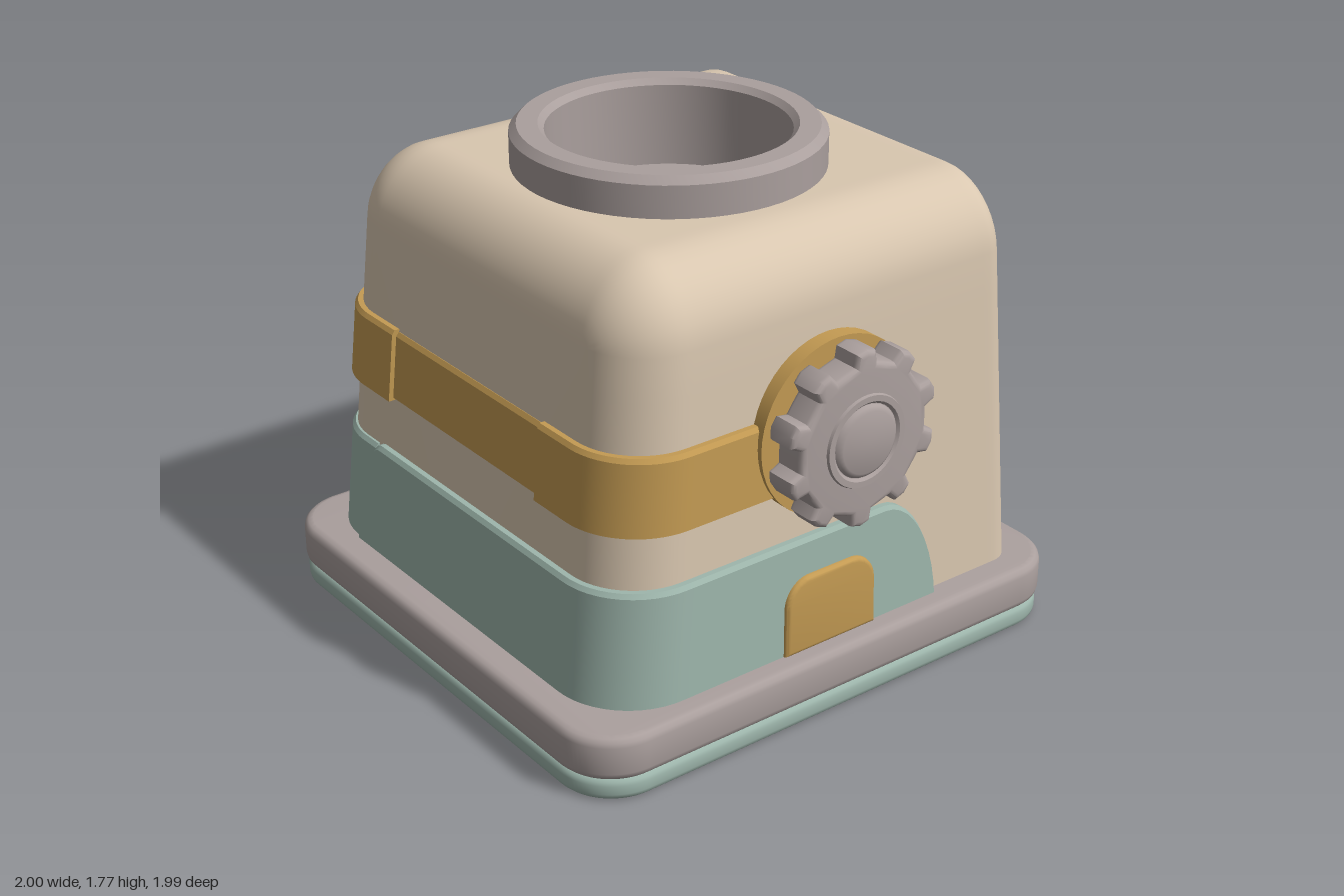
import * as THREE from 'three';
import { toCreasedNormals } from 'three/addons/utils/BufferGeometryUtils.js';

const mat = (name, color) => Object.assign(new THREE.MeshStandardMaterial({ color }), { name });
const FLOOR = 0.23, HALF_X = 0.86, HALF_Z = 0.87, CORNER = 0.25;

// Taper shared by everything that sits on the body: (x, y, v) -> model space
function warp(x, y, v) {
  const t = (y - FLOOR) / 1.41;
  return [x * (1 - 0.13 * t), y, -0.05 + 0.03 * t + v * (1 - 0.08 * t)];
}

// Skin a grid of points, one row per cross-section
function skin(rows, crease = 0.6) {
  const n = rows[0].length, index = [];
  for (let i = 0; i < rows.length - 1; i++) {
    for (let j = 0; j < n - 1; j++) {
      const a = i * n + j;
      index.push(a, a + 1, a + n, a + 1, a + n + 1, a + n);
    }
  }
  const geo = new THREE.BufferGeometry();
  geo.setAttribute('position', new THREE.Float32BufferAttribute(rows.flat(2), 3));
  geo.setIndex(index);
  return toCreasedNormals(geo, crease);
}

// Arch cross-section at x: half-width w, top h, corner radius r
function arch(x, w, h, r) {
  const half = [];
  for (let i = 0; i < 8; i++) half.push([w, FLOOR + (h - r - FLOOR) * i / 8]);
  for (let i = 0; i <= 10; i++) {
    const a = Math.PI / 2 * i / 10;
    half.push([w - r + r * Math.cos(a), h - r + r * Math.sin(a)]);
  }
  for (let i = 1; i <= 20; i++) half.push([(w - r) * (1 - i / 20), h]);
  const other = half.slice(0, -1).reverse().map(([v, y]) => [-v, y]);
  return [...half, ...other].map(([v, y]) => warp(x, y, v));
}

// Body: open on the right end, rounded towards the closed left end
function bodyGeometry() {
  const inset = (x, d) => arch(x, HALF_Z - d, 1.64 - d, Math.max(0.005, CORNER - d));
  const rows = [arch(HALF_X, 0.6, 1.4, 0.15)];
  const edge = 0.09;
  for (let i = 0; i <= 8; i++) {
    const a = Math.PI / 2 * i / 8;
    rows.push(inset(HALF_X - edge + edge * Math.cos(a), edge * (1 - Math.sin(a))));
  }
  for (let i = 1; i < 46; i++) {
    rows.push(inset(THREE.MathUtils.lerp(HALF_X - edge, CORNER - HALF_X, i / 46), 0));
  }
  for (let i = 0; i <= 12; i++) {
    const a = Math.PI / 2 * i / 12;
    rows.push(inset(-HALF_X + CORNER - CORNER * Math.sin(a), CORNER * (1 - Math.cos(a))));
  }
  rows.push(arch(-HALF_X, 0.001, FLOOR + 0.002, 0.0005));
  // Sink the roof under the round well
  for (const p of rows.flat()) {
    if (p[1] > 1.5 && Math.hypot(p[0] + 0.015, p[2]) < 0.46) p[1] = 1.42;
  }
  return skin(rows);
}

// Point and outward normal along the body's plan outline; s = 0 where the front left corner starts
function outline(s) {
  const arc = CORNER * Math.PI / 2, side = 2 * (HALF_Z - CORNER);
  const cx = CORNER - HALF_X, cz = HALF_Z - CORNER;
  if (s < 0) return [cx - s, HALF_Z, 0, 1];
  if (s > 2 * arc + side) return [cx + s - 2 * arc - side, -HALF_Z, 0, -1];
  const onSide = s > arc && s < arc + side;
  if (onSide) return [-HALF_X, cz - (s - arc), -1, 0];
  const front = s <= arc;
  const a = (front ? s : s - side) / CORNER;
  const nx = -Math.sin(a), nz = Math.cos(a);
  return [cx + CORNER * nx, (front ? cz : -cz) + CORNER * nz, nx, nz];
}

// Raised strip wrapped round the body, with optional rounded ends r0 and r1
function wrap(s0, s1, y0, y1, off, r0 = 0, r1 = 0) {
  const stations = [];
  const fall = (i) => 1 - Math.cos(Math.PI / 2 * i / 10);
  if (r0) for (let i = 0; i < 10; i++) stations.push([s0 + r0 * fall(i), Math.sin(Math.PI / 2 * i / 10)]);
  for (let i = 0; i <= 70; i++) stations.push([THREE.MathUtils.lerp(s0 + r0, s1 - r1, i / 70), 1]);
  if (r1) for (let i = 9; i >= 0; i--) stations.push([s1 - r1 * fall(i), Math.sin(Math.PI / 2 * i / 10)]);
  const row = ([s, k], d) => {
    const [x, v, nx, nz] = outline(s), top = y0 + (y1 - y0) * k;
    const section = [[-0.02, y0], [d, y0], [d, Math.max(y0, top - 0.015)], [d - 0.01, top], [-0.02, top]];
    return section.map(([o, y]) => warp(x + nx * o, y, v + nz * o));
  };
  const last = stations[stations.length - 1];
  return skin([row(stations[0], -0.02), ...stations.map((p) => row(p, off)), row(last, -0.02)], 0.5);
}

function roundedRect(w, h, r) {
  const s = new THREE.Shape();
  [[w - r, h - r, 0], [r - w, h - r, 1], [r - w, r - h, 2], [w - r, r - h, 3]].forEach(([x, y, q]) =>
    s.absarc(x, y, r, q * Math.PI / 2, (q + 1) * Math.PI / 2, false));
  return s;
}

// Extrusion whose bevel stays inside the given outline and depth
function slab(shape, depth, bevel) {
  const geo = new THREE.ExtrudeGeometry(shape, {
    depth: depth - 2 * bevel, bevelThickness: bevel, bevelSize: bevel, bevelOffset: -bevel,
    bevelSegments: 3, curveSegments: 10,
  });
  geo.translate(0, 0, bevel);
  return toCreasedNormals(geo, 0.6);
}

const lathe = (points, seg = 64) =>
  toCreasedNormals(new THREE.LatheGeometry(points.map((p) => new THREE.Vector2(...p)), seg), 0.6);

export function createModel() {
  const model = new THREE.Group();
  const cream = mat('cream', 0xd9c7b0), grey = mat('warm grey', 0xaa9f9d);
  const gold = mat('ochre', 0xc49b53), teal = mat('pale teal', 0x9eb6ac);
  const add = (name, geo, material, x = 0, y = 0, z = 0) => {
    const mesh = new THREE.Mesh(geo, material);
    mesh.name = name;
    mesh.position.set(x, y, z);
    model.add(mesh);
    return mesh;
  };

  // Base plates
  add('basePlate', slab(roundedRect(1, 0.96, 0.2), 0.155, 0.03).rotateX(-Math.PI / 2), grey, 0, 0.075, -0.03);
  add('baseTrim', slab(roundedRect(0.995, 0.955, 0.2), 0.08, 0.025).rotateX(-Math.PI / 2), teal, 0, 0, -0.03);

  // Body, door frame and cavity
  add('body', bodyGeometry(), cream);
  add('doorFrameAndCavity', skin([
    arch(-0.66, 0.001, FLOOR + 0.002, 0.0005), arch(-0.66, 0.47, 1.26, 0.06),
    arch(-0.63, 0.54, 1.33, 0.1), arch(-0.56, 0.57, 1.36, 0.13),
    arch(0.87, 0.57, 1.36, 0.13), arch(0.895, 0.58, 1.37, 0.14), arch(0.905, 0.6, 1.39, 0.15),
    arch(0.905, 0.75, 1.545, 0.21), arch(0.897, 0.765, 1.56, 0.22), arch(0.885, 0.77, 1.565, 0.22),
    arch(0.84, 0.77, 1.565, 0.22),
  ], 0.7), gold);
  const patch = new THREE.Shape([[-0.66, -0.55], [0.25, -0.55], [0.25, 0.25], [0.57, 0.53], [-0.66, 0.53]]
    .map((p) => new THREE.Vector2(...p)));
  add('cavityFloor', new THREE.ShapeGeometry(patch).rotateX(-Math.PI / 2), gold, 0, FLOOR + 0.006, -0.03);

  // Teal skirt, in two overlapping pieces
  add('skirtFront', wrap(-1.07, 1.613, FLOOR, 0.63, 0.03, 0.22, 0.1), teal);
  add('skirtBack', wrap(1.55, 3.13, FLOOR, 0.62, 0.018, 0, 0.25), teal);

  // Ochre belt, thicker at both corners
  add('beltFront', wrap(-0.61, 0.57, 0.82, 1.08, 0.03), gold);
  add('beltSide', wrap(0.56, 1.47, 0.83, 1.07, 0.012), gold);
  add('beltBack', wrap(1.46, 2.03, 0.82, 1.08, 0.03), gold);

  // Small hatch on the front
  const hatchShape = new THREE.Shape();
  hatchShape.moveTo(-0.2, FLOOR).lineTo(0.18, FLOOR).lineTo(0.18, 0.4);
  hatchShape.absarc(0.08, 0.4, 0.1, 0, Math.PI / 2, false);
  hatchShape.absarc(-0.1, 0.4, 0.1, Math.PI / 2, Math.PI, false);
  const hatch = slab(hatchShape, 0.06, 0.015);
  const pos = hatch.attributes.position;
  for (let i = 0; i < pos.count; i++) {
    pos.setXYZ(i, ...warp(pos.getX(i), pos.getY(i), HALF_Z - 0.012 + pos.getZ(i)));
  }
  add('hatch', hatch, gold);

  // Round well on the roof
  add('roofWell', lathe([[0.0001, 1.47], [0.405, 1.47], [0.405, 1.755], [0.425, 1.775],
    [0.495, 1.775], [0.52, 1.75], [0.52, 1.5]].reverse()), grey, -0.015, 0, 0)
    .geometry.computeBoundingSphere();

  // Cog wheel on its ochre disc
  const disc = new THREE.CylinderGeometry(0.305, 0.305, 0.09, 48).rotateX(Math.PI / 2);
  add('cogDisc', disc, gold, 0, 1.005, 0.8);
  const cog = new THREE.Shape();
  const TEETH = 10;
  for (let i = 0; i < TEETH; i++) {
    [[-0.27, 0.26], [-0.2, 0.3], [0, 0.308], [0.2, 0.3], [0.27, 0.26], [0.5, 0.258]].forEach(([f, r], k) => {
      const a = (i + 0.5 + f) / TEETH * Math.PI * 2;
      const p = [r * Math.cos(a), r * Math.sin(a)];
      if (i || k) cog.lineTo(...p); else cog.moveTo(...p);
    });
  }
  cog.closePath();
  add('cogWheel', slab(cog, 0.12, 0.02), grey, 0, 1.005, 0.86);
  add('cogHub', lathe([[0.16, 0], [0.155, 0.012], [0.135, 0.012], [0.125, 0.002],
    [0.118, 0.012], [0.105, 0.02], [0.0001, 0.02]], 40).rotateX(Math.PI / 2), grey, 0, 1.005, 0.977);
  add('cogAxle', new THREE.CylinderGeometry(0.15, 0.15, 0.06, 32).rotateX(Math.PI / 2), grey, 0, 1.005, 0.85);
  return model;
}
